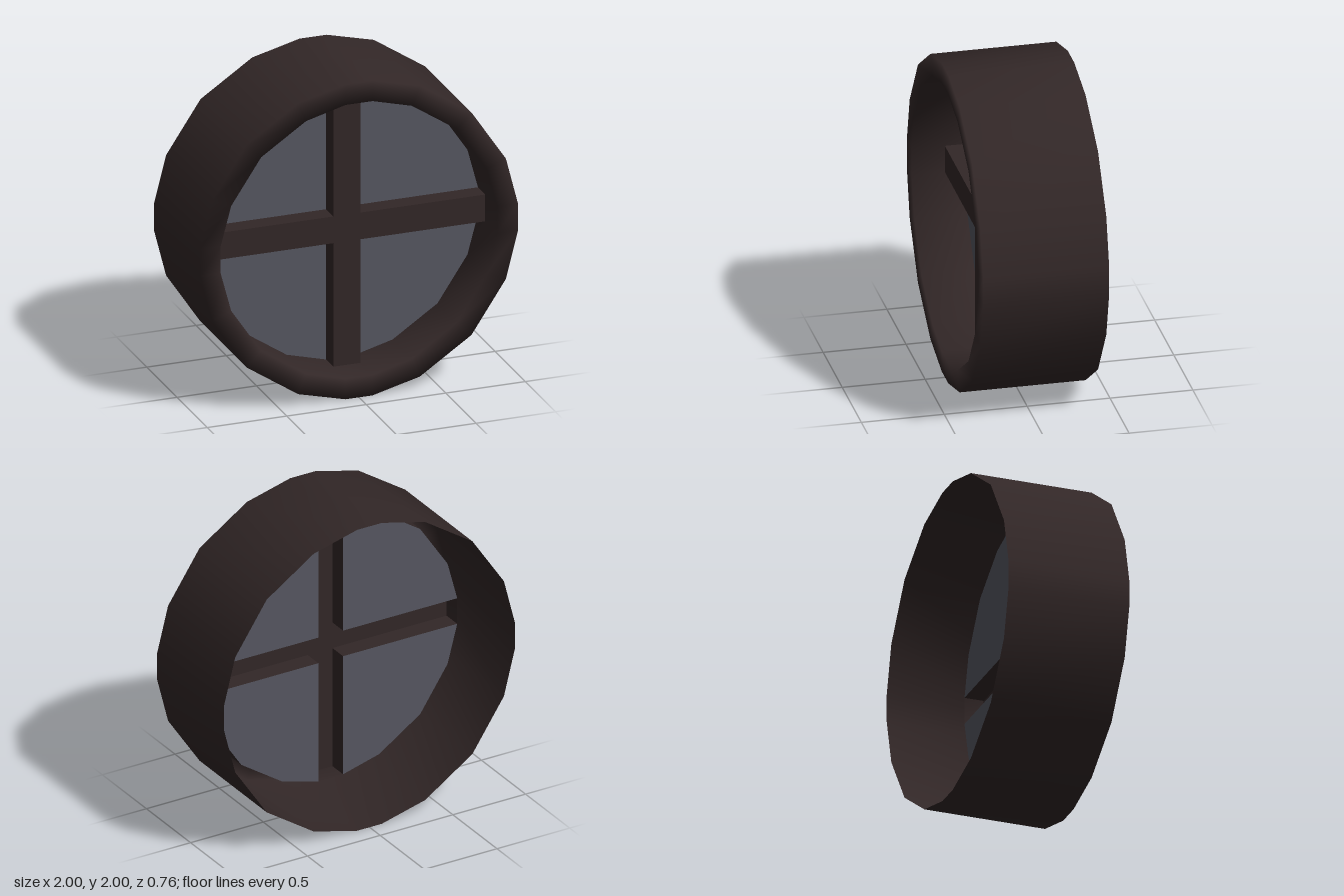
import * as THREE from 'three';

const HALF_BAR = 0.085, GLASS_Z = 0.06, BAR_Z = 0.18, DEPTH = 0.38;

// Twenty-point ring: a 16-gon whose four axis corners are cut to the bar width
function ringPoints(r) {
  const pts = [];
  for (let q = 0; q < 4; q++) {
    const base = [[r, HALF_BAR]];
    for (let k = 1; k <= 3; k++) {
      const a = k * Math.PI / 8;
      base.push([r * Math.cos(a), r * Math.sin(a)]);
    }
    base.push([HALF_BAR, r]);
    for (const [x, y] of base) {
      pts.push(new THREE.Vector2(x, y).rotateAround(new THREE.Vector2(), q * Math.PI / 2));
    }
  }
  return pts;
}

// Sheet lofted through rings given as [radius, z]
function loft(profile) {
  const pos = [], idx = [], n = 20;
  for (const [r, z] of profile) for (const p of ringPoints(r)) pos.push(p.x, p.y, z);
  for (let i = 0; i < profile.length - 1; i++) {
    for (let j = 0; j < n; j++) {
      const k = (j + 1) % n;
      const a = i * n + j, b = i * n + k, c = b + n, d = a + n;
      idx.push(a, b, d, b, c, d);
    }
  }
  const g = new THREE.BufferGeometry();
  g.setAttribute('position', new THREE.Float32BufferAttribute(pos, 3));
  g.setIndex(idx);
  g.computeVertexNormals();
  return g;
}

export function createModel() {
  const frameMat = new THREE.MeshStandardMaterial({ color: 0x322727, side: THREE.DoubleSide });
  frameMat.name = 'dark brown frame';
  const glassMat = new THREE.MeshStandardMaterial({ color: 0x555660, side: THREE.DoubleSide });
  glassMat.name = 'grey glass';

  const model = new THREE.Group();
  model.name = 'roundWindow';
  const add = (parent, name, geometry, material) => {
    const mesh = new THREE.Mesh(geometry, material);
    mesh.name = name;
    parent.add(mesh);
    return mesh;
  };

  const R = 0.87, b = HALF_BAR;
  const body = new THREE.Group();
  body.name = 'windowBody';
  body.position.y = 1;
  model.add(body);

  // Outer wall, front lip and inner reveal, open at the back
  add(body, 'roundFrame', loft([[1, -DEPTH], [1, DEPTH], [R, DEPTH], [R, GLASS_Z]]), frameMat);

  // Front face of the crossed bars
  const cross = new THREE.Shape([
    [R, -b], [R, b], [b, b], [b, R], [-b, R], [-b, b],
    [-R, b], [-R, -b], [-b, -b], [-b, -R], [b, -R], [b, -b],
  ].map(([x, y]) => new THREE.Vector2(x, y)));
  add(body, 'crossBars', new THREE.ShapeGeometry(cross), frameMat).position.z = BAR_Z;

  // Four panes, each with the two bar sides that border it
  const paneShape = new THREE.Shape([new THREE.Vector2(b, b), ...ringPoints(R).slice(0, 5)]);
  const paneGeo = new THREE.ShapeGeometry(paneShape);
  const sideGeo = new THREE.PlaneGeometry(R - b, BAR_Z - GLASS_Z).rotateX(-Math.PI / 2);
  const mid = (R + b) / 2, sideZ = (BAR_Z + GLASS_Z) / 2;
  for (let q = 0; q < 4; q++) {
    const quarter = new THREE.Group();
    quarter.name = 'quarter' + (q + 1);
    quarter.rotation.z = q * Math.PI / 2;
    body.add(quarter);
    add(quarter, 'glassPane', paneGeo, glassMat).position.z = GLASS_Z;
    add(quarter, 'barSide', sideGeo, frameMat).position.set(mid, b, sideZ);
    const upright = add(quarter, 'barSide', sideGeo, frameMat);
    upright.position.set(b, mid, sideZ);
    upright.rotation.z = -Math.PI / 2;
  }
  return model;
}
